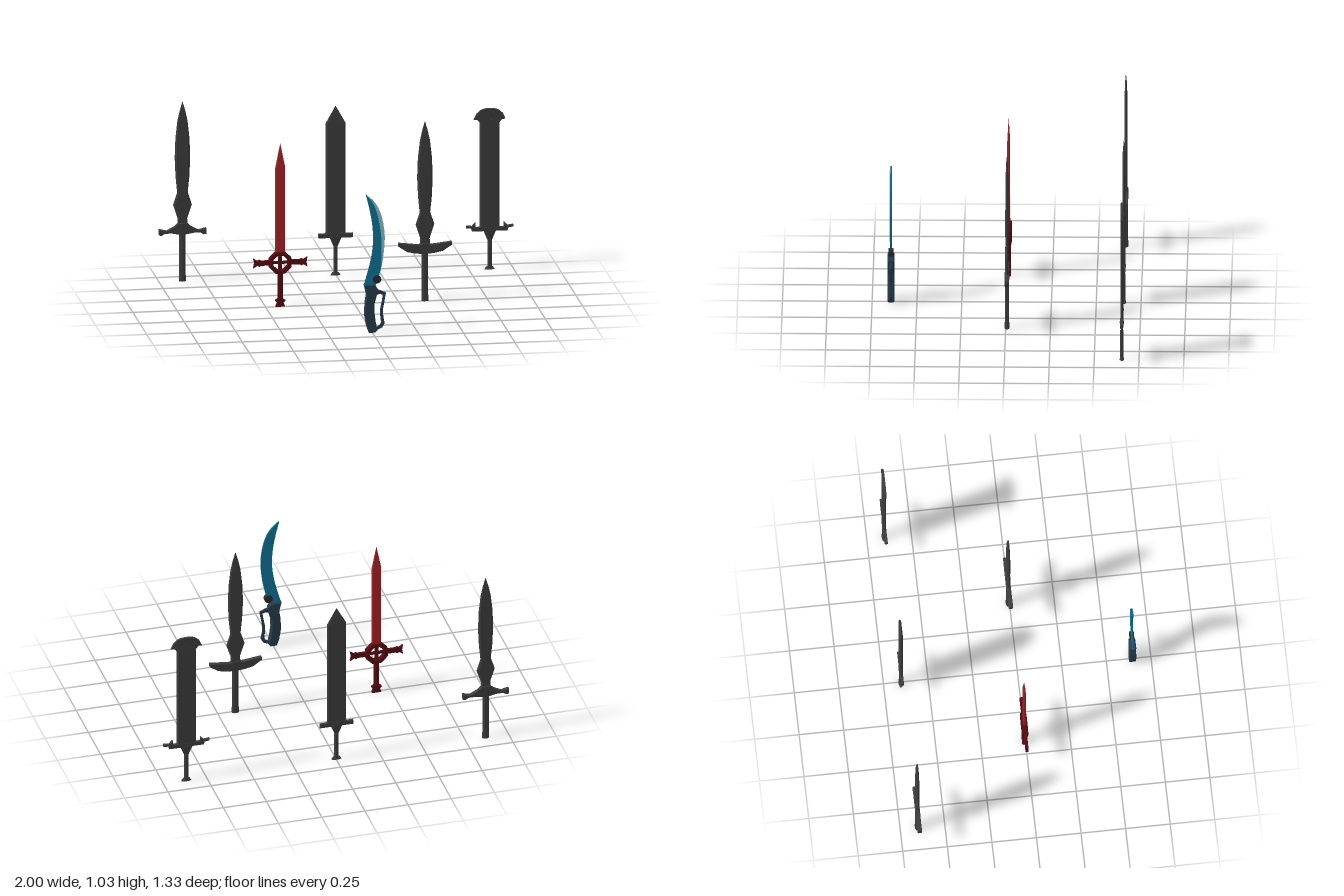
import * as THREE from 'three';

const mat = (name, color) => Object.assign(new THREE.MeshStandardMaterial({ color }), { name });

export function createModel() {
  const steel = mat('dark steel', 0x3d3d3d);
  const red = mat('red blade', 0xa82226);
  const maroon = mat('maroon fittings', 0x56090f);
  const cyan = mat('cyan blade', 0x0b7497);
  const pale = mat('pale cutting edge', 0x8fbfca);
  const slate = mat('slate blue handle', 0x263b4c);
  const umber = mat('dark rivet', 0x2e2a2b);

  const root = new THREE.Group();
  root.name = 'swordCollection';

  const weapon = (name, x, z) => {
    const g = new THREE.Group();
    g.name = name;
    g.position.set(x, 0, z);
    root.add(g);
    return g;
  };
  const add = (group, name, geo, material, x = 0, y = 0, z = 0) => {
    const m = new THREE.Mesh(geo, material);
    m.name = name;
    m.position.set(x, y, z);
    group.add(m);
    return m;
  };
  const shapeOf = pts => new THREE.Shape(pts.map(p => new THREE.Vector2(...p)));
  const extrude = (shape, depth, bevel = 0) => new THREE.ExtrudeGeometry(shape, {
    depth: depth - 2 * bevel, bevelEnabled: bevel > 0, bevelSize: bevel, bevelOffset: -bevel,
    bevelThickness: bevel, bevelSegments: 1, curveSegments: 10,
  }).translate(0, 0, bevel - depth / 2);
  // Symmetric plate from the right half of its outline
  const mirrored = pts => shapeOf([...pts, ...pts.filter(p => p[0] > 0).reverse().map(([x, y]) => [-x, y])]);

  // Flat blade with ground edges; stations are [y, half width, half thickness]
  const blade = (stations, flat = 0.75) => {
    const ring = ([y, w, t]) => [
      [w, y, 0], [w * flat, y, -t], [-w * flat, y, -t], [-w, y, 0], [-w * flat, y, t], [w * flat, y, t]];
    const rings = [ring([stations[0][0], 0, 0]), ...stations.map(ring)];
    const pos = [];
    for (let i = 0; i < rings.length - 1; i++) for (let j = 0; j < 6; j++) {
      const k = (j + 1) % 6;
      const [a, b, c, d] = [rings[i][j], rings[i][k], rings[i + 1][k], rings[i + 1][j]];
      pos.push(...a, ...b, ...c, ...a, ...c, ...d);
    }
    const geo = new THREE.BufferGeometry();
    geo.setAttribute('position', new THREE.Float32BufferAttribute(pos, 3));
    geo.computeVertexNormals();
    return geo;
  };
  // Eight-sided faceted post between two heights
  const post = (y0, y1, rBottom, rTop, rz) => {
    const geo = new THREE.CylinderGeometry(rTop, rBottom, y1 - y0, 8).toNonIndexed();
    geo.rotateY(Math.PI / 8).scale(1.06, 1, 1.06 * rz / Math.max(rBottom, rTop)).translate(0, (y0 + y1) / 2, 0);
    geo.computeVertexNormals();
    return geo;
  };

  // Two leaf-bladed swords that differ only in the guard
  const leafStations = [
    [0.3, 0.03, 0.009], [0.36, 0.027, 0.009], [0.44, 0.053, 0.009], [0.51, 0.03, 0.009], [0.6, 0.039, 0.009],
    [0.71, 0.044, 0.009], [0.82, 0.04, 0.008], [0.92, 0.029, 0.007], [0.98, 0.016, 0.005], [1.035, 0, 0]];
  const droopGuard = [
    [0, 0.335], [0.025, 0.335], [0.045, 0.315], [0.09, 0.292], [0.133, 0.302], [0.133, 0.268],
    [0.118, 0.266], [0.1, 0.277], [0.06, 0.277], [0.025, 0.27], [0, 0.27]];
  const wingGuard = [
    [0, 0.335], [0.035, 0.325], [0.07, 0.328], [0.15, 0.338], [0.15, 0.318], [0.1, 0.285], [0.05, 0.275], [0, 0.27]];
  const leafSword = (name, x, z, guard) => {
    const g = weapon(name, x, z);
    add(g, 'blade', blade(leafStations), steel);
    add(g, 'guard', extrude(mirrored(guard), 0.025, 0.003), steel);
    add(g, 'grip', post(0.03, 0.28, 0.018, 0.018, 0.012), steel);
    add(g, 'pommel', post(0, 0.032, 0.02, 0.02, 0.014), steel);
  };
  leafSword('droopingGuardSword', -0.867, -0.654, droopGuard);
  leafSword('wingedGuardSword', 0.4, -0.007, wingGuard);

  // Red sword with a ring guard
  const ringSword = weapon('ringGuardSword', -0.417, -0.006);
  add(ringSword, 'blade', blade([[0.29, 0.028, 0.008], [0.8, 0.028, 0.008], [0.94, 0, 0]]), red);
  const octagon = r => Array.from({ length: 8 }, (_, i) => {
    const a = (i + 0.5) * Math.PI / 4;
    return [r * Math.cos(a), r * Math.sin(a)];
  });
  const ringShape = shapeOf(octagon(0.068));
  ringShape.holes.push(shapeOf(octagon(0.043)));
  add(ringSword, 'guardRing', extrude(ringShape, 0.034, 0.004), maroon, 0, 0.253);
  for (const s of [-1, 1]) {
    const arm = [[0.055, 0.014], [0.11, 0.014], [0.118, 0.02], [0.13, 0.014], [0.153, 0.028],
      [0.147, 0], [0.153, -0.028], [0.13, -0.014], [0.118, -0.02], [0.11, -0.014], [0.055, -0.014]];
    const pts = arm.map(([x, y]) => [s * x, y]);
    add(ringSword, 'guardArm', extrude(shapeOf(pts), 0.018, 0.002), maroon, 0, 0.253);
  }
  add(ringSword, 'ringCrossBar', new THREE.BoxGeometry(0.1, 0.014, 0.014), maroon, 0, 0.253);
  add(ringSword, 'ringUpright', new THREE.BoxGeometry(0.02, 0.1, 0.014), maroon, 0, 0.253);
  add(ringSword, 'grip', post(0.03, 0.2, 0.015, 0.015, 0.012), maroon);
  add(ringSword, 'pommel', extrude(mirrored([
    [0, 0.045], [0.016, 0.045], [0.03, 0.035], [0.018, 0.022], [0.027, 0], [0, 0]]), 0.026, 0.003), maroon);

  // Slim grip shared by the two broad swords
  const slimHilt = g => {
    add(g, 'gripCollar', post(0.165, 0.222, 0.012, 0.036, 0.012), steel);
    add(g, 'grip', post(0.01, 0.17, 0.012, 0.012, 0.01), steel);
    add(g, 'pommel', post(0, 0.016, 0.029, 0.018, 0.012), steel);
  };

  // Broad sword with a pointed blade
  const broad = weapon('broadSword', -0.003, -0.654);
  add(broad, 'blade', blade([[0.235, 0.056, 0.008], [0.875, 0.056, 0.008], [0.975, 0, 0]], 0.85), steel);
  add(broad, 'guard', extrude(mirrored([
    [0, 0.245], [0.055, 0.245], [0.06, 0.24], [0.097, 0.24], [0.097, 0.215], [0, 0.215]]), 0.018, 0.002), steel);
  slimHilt(broad);

  // Broad sword with a domed, crescent-ended blade
  const crescent = weapon('crescentSword', 0.867, -0.654);
  add(crescent, 'blade', blade([[0.235, 0.056, 0.008], [0.86, 0.056, 0.008], [0.862, 0, 0]], 0.85), steel);
  add(crescent, 'crescentTip', extrude(mirrored([
    [0, 0.926], [0.03, 0.924], [0.055, 0.914], [0.075, 0.895], [0.09, 0.862], [0.07, 0.862], [0.056, 0.845],
    [0, 0.845]]), 0.014, 0.003), steel);
  add(crescent, 'guard', extrude(mirrored([
    [0, 0.245], [0.08, 0.243], [0.08, 0.272], [0.1, 0.25], [0.133, 0.254], [0.133, 0.24], [0.105, 0.238],
    [0.1, 0.22], [0, 0.22]]), 0.018, 0.002), steel);
  slimHilt(crescent);

  // Curved knife with a knuckle guard
  const knife = weapon('curvedKnife', 0, 0.645);
  const outer = [[0.02, 0.27], [0.045, 0.35], [0.062, 0.44], [0.07, 0.55], [0.054, 0.66], [0.02, 0.74], [-0.037, 0.795]];
  const spine = [[-0.016, 0.71], [0, 0.62], [0.005, 0.52], [-0.01, 0.41], [-0.048, 0.27]];
  const curve = pts => new THREE.SplineCurve(pts.map(p => new THREE.Vector2(...p))).getPoints(18).map(p => [p.x, p.y]);
  const edge = curve(outer);
  add(knife, 'blade', extrude(shapeOf([...edge, ...curve([outer.at(-1), ...spine]).slice(1)]), 0.01, 0.001), cyan);
  const strip = edge.slice(4);
  const inside = strip.map(([x, y], i) => [x - 0.022 * Math.sin(Math.PI * i / (strip.length - 1)), y]).slice(1, -1);
  add(knife, 'cuttingEdge', extrude(shapeOf([...strip, ...inside.reverse()]), 0.003), pale, 0, 0, 0.0055);
  add(knife, 'handle', extrude(shapeOf([
    [-0.048, 0.275], [0.012, 0.275], [0.03, 0.25], [0.024, 0.215], [0.012, 0.17], [0.01, 0.12], [0.018, 0.06],
    [0.028, 0.015], [0.015, 0], [-0.02, 0], [-0.034, 0.04], [-0.044, 0.1], [-0.042, 0.17], [-0.034, 0.22]]),
    0.038, 0.005), slate);
  add(knife, 'knuckleGuard', extrude(shapeOf([
    [0.015, 0.25], [0.05, 0.238], [0.077, 0.225], [0.07, 0.185], [0.06, 0.13], [0.062, 0.09], [0.07, 0.05],
    [0.055, 0.025], [0.015, 0.008], [0.015, 0.025], [0.042, 0.04], [0.05, 0.055], [0.046, 0.09], [0.046, 0.135],
    [0.056, 0.185], [0.06, 0.213], [0.042, 0.22], [0.015, 0.21]]), 0.012, 0.002), slate);
  const rivet = new THREE.CylinderGeometry(0.024, 0.024, 0.026, 12).rotateX(Math.PI / 2);
  add(knife, 'rivet', rivet, umber, 0.026, 0.305);

  return root;
}
